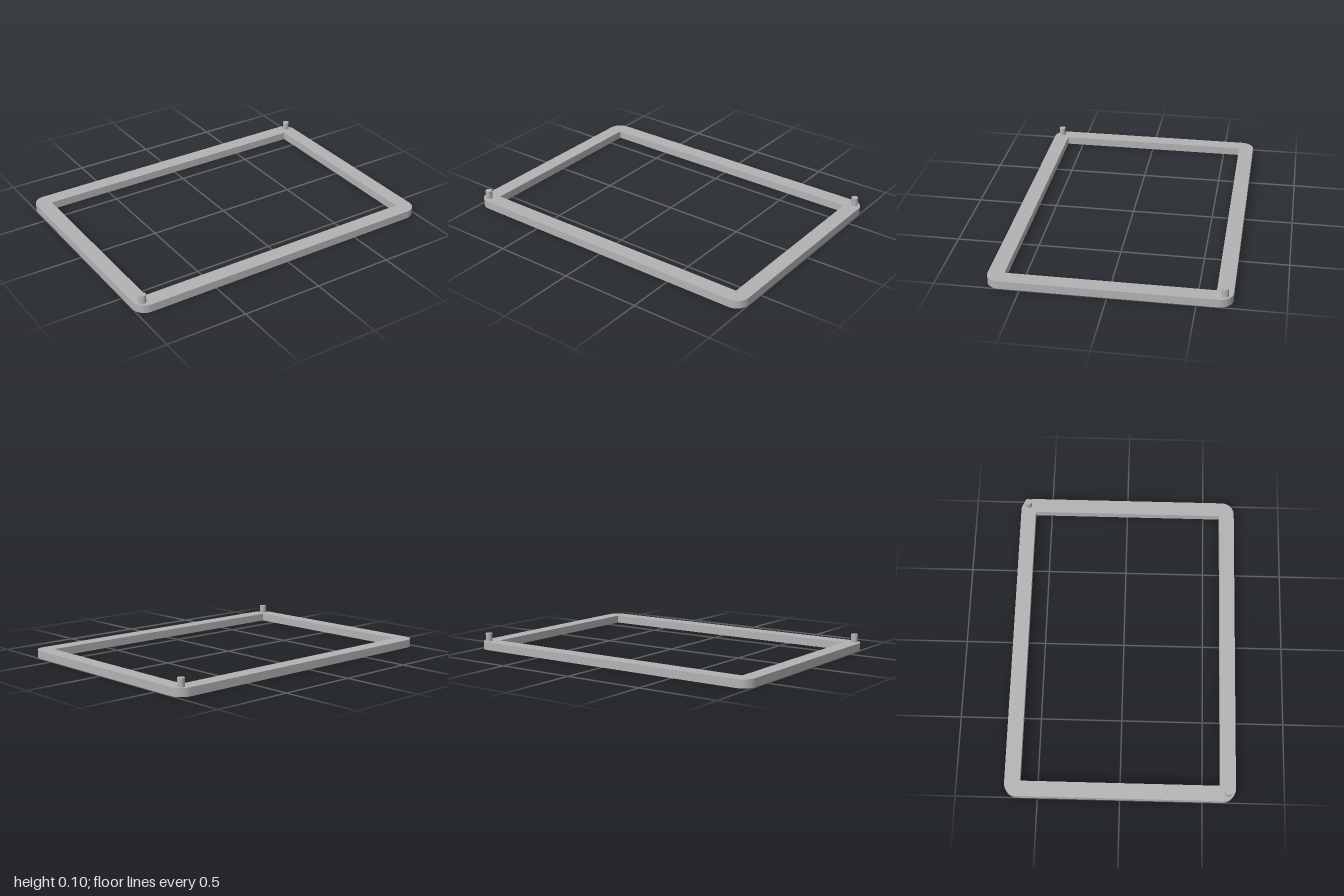
import * as THREE from 'three';
import { toCreasedNormals } from 'three/addons/utils/BufferGeometryUtils.js';

const HALF_X = 1, HALF_Z = 0.702, CORNER = 0.08;
const HOLE_X = 0.905, HOLE_Z = 0.606;
const FRAME_H = 0.05, PEG_TOP = 0.1, PEG_R = 0.021;

// Rounded rectangle centred on the origin
function roundedRect(a, b, r) {
  const s = new THREE.Shape();
  s.moveTo(a, -b + r);
  s.absarc(a - r, b - r, r, 0, Math.PI / 2);
  s.absarc(-a + r, b - r, r, Math.PI / 2, Math.PI);
  s.absarc(-a + r, -b + r, r, Math.PI, Math.PI * 1.5);
  s.absarc(a - r, -b + r, r, Math.PI * 1.5, Math.PI * 2);
  return s;
}

export function createModel() {
  const model = new THREE.Group();
  model.name = 'rectangularFrame';
  const grey = new THREE.MeshStandardMaterial({ color: 0xb3b3b3 });
  grey.name = 'grey';

  // Flat frame: rounded outside, square-cornered opening
  const outline = roundedRect(HALF_X, HALF_Z, CORNER);
  outline.holes.push(new THREE.Path([
    new THREE.Vector2(-HOLE_X, -HOLE_Z),
    new THREE.Vector2(-HOLE_X, HOLE_Z),
    new THREE.Vector2(HOLE_X, HOLE_Z),
    new THREE.Vector2(HOLE_X, -HOLE_Z),
  ]));
  const frameGeo = new THREE.ExtrudeGeometry(outline, {
    depth: FRAME_H, bevelEnabled: false, curveSegments: 12,
  });
  frameGeo.rotateX(-Math.PI / 2);
  const frame = new THREE.Mesh(toCreasedNormals(frameGeo, Math.PI / 6), grey);
  frame.name = 'frame';
  model.add(frame);

  // Locating pegs on two opposite corners
  const pegGeo = new THREE.CylinderGeometry(PEG_R, PEG_R, PEG_TOP - FRAME_H, 24);
  for (const [name, side] of [['frontRightPeg', -1], ['backLeftPeg', 1]]) {
    const peg = new THREE.Mesh(pegGeo, grey);
    peg.name = name;
    peg.position.set(side * 0.952, (FRAME_H + PEG_TOP) / 2, -side * 0.655);
    model.add(peg);
  }
  return model;
}
